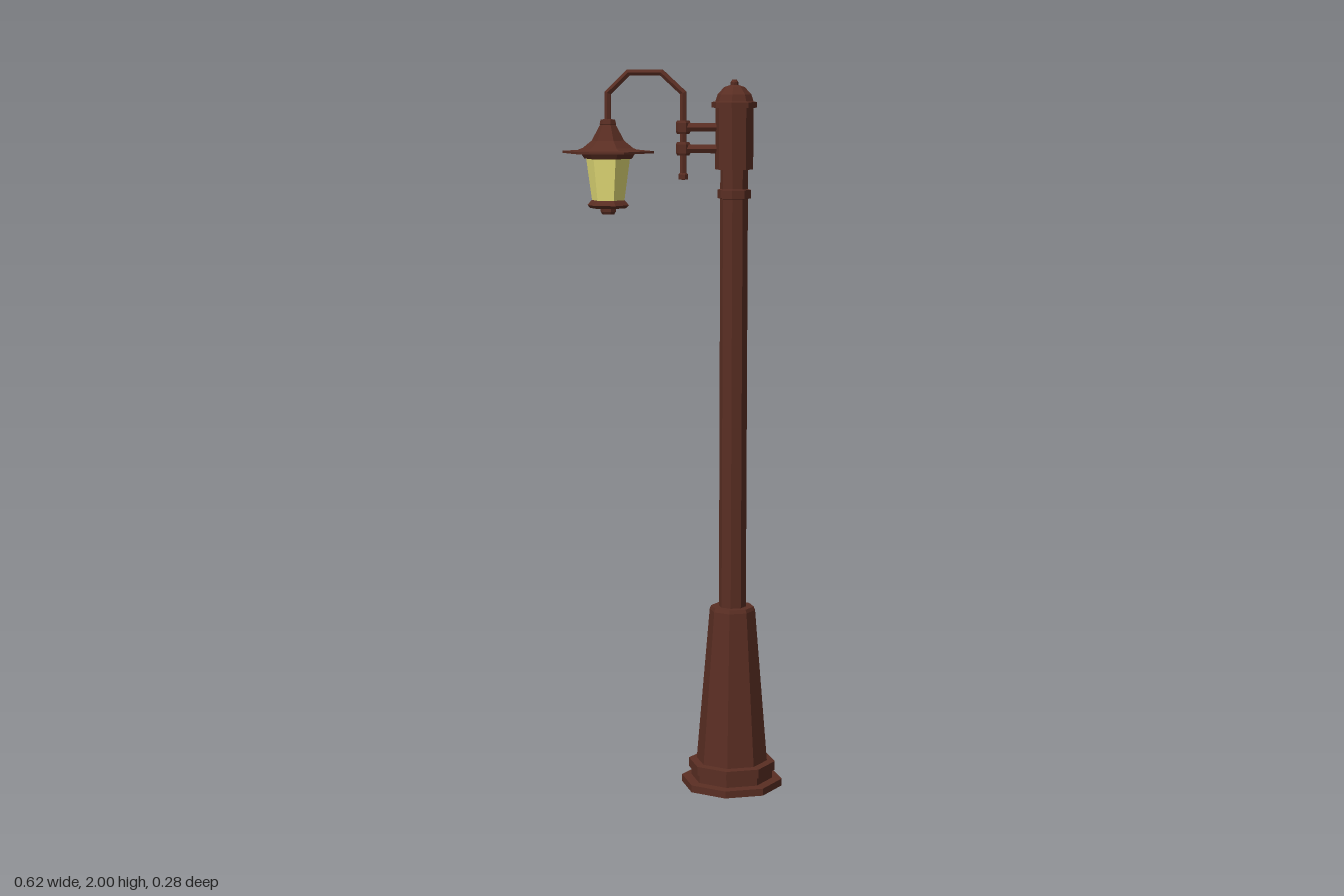
import * as THREE from 'three';

const POST_X = 0.166, LAMP_X = -0.182, ARM_X = 0.026;

export function createModel() {
  const group = new THREE.Group();
  const metal = new THREE.MeshStandardMaterial({ color: 0x5a2e23, flatShading: true });
  const glow = new THREE.MeshStandardMaterial({ color: 0xe6df78, flatShading: true });

  const add = (name, geometry, material = metal) => {
    const mesh = new THREE.Mesh(geometry, material);
    mesh.name = name;
    group.add(mesh);
    return mesh;
  };
  // Faceted turned part; the profile runs from bottom to top as [radius, y]
  const turned = (name, x, sides, profile, material) => {
    const geo = new THREE.LatheGeometry(profile.map(([r, y]) => new THREE.Vector2(r, y)), sides);
    if (sides === 6) geo.rotateY(Math.PI / 6);
    geo.translate(x, 0, 0);
    return add(name, geo, material);
  };

  // Eight-sided post
  turned('basePlinth', POST_X, 8, [
    [0, 0], [0.142, 0], [0.142, 0.02], [0.115, 0.022], [0.115, 0.045],
    [0.122, 0.045], [0.122, 0.07], [0.1, 0.072], [0, 0.072]]);
  turned('taperedBase', POST_X, 8, [[0.1, 0.07], [0.064, 0.505], [0.06, 0.515], [0, 0.515]]);
  turned('shaft', POST_X, 8, [[0.038, 0.51], [0.038, 1.74]]);
  turned('collar', POST_X, 8, [[0.037, 1.65], [0.046, 1.652], [0.046, 1.675], [0.037, 1.677]]);
  turned('postHead', POST_X, 8, [[0, 1.73], [0.052, 1.73], [0.052, 1.9]]);
  turned('postCap', POST_X, 8, [
    [0.052, 1.896], [0.062, 1.896], [0.062, 1.911], [0.052, 1.913],
    [0.046, 1.932], [0.028, 1.951], [0.01, 1.957]]);
  turned('capFinial', POST_X, 8, [[0.01, 1.952], [0.011, 1.964], [0.006, 1.971], [0, 1.972]]);

  // Gooseneck arm: a six-sided tube with one ring at each bend
  const path = [[ARM_X, 1.71], [ARM_X, 1.935], [-0.034, 1.99], [-0.125, 1.99],
    [LAMP_X, 1.935], [LAMP_X, 1.85]].map(([x, y]) => new THREE.Vector3(x, y, 0));
  const last = path.length - 1;
  const bend = new THREE.Curve();
  bend.getPointAt = (u) => path[Math.round(u * last)].clone();
  bend.getTangentAt = (u) => {
    const i = Math.round(u * last), t = new THREE.Vector3();
    if (i > 0) t.add(path[i].clone().sub(path[i - 1]).normalize());
    if (i < last) t.add(path[i + 1].clone().sub(path[i]).normalize());
    return t.normalize();
  };
  add('gooseneckArm', new THREE.TubeGeometry(bend, last, 0.01, 6, false));
  turned('armEnd', ARM_X, 6, [[0, 1.7], [0.013, 1.702], [0.013, 1.716], [0.009, 1.72]]);

  // Two brackets clamping the arm to the post
  for (const y of [1.843, 1.785]) {
    const bar = new THREE.CylinderGeometry(0.0135, 0.0135, 0.095, 6);
    bar.rotateZ(Math.PI / 2).translate(0.08, y, 0);
    add('bracketBar', bar);
    turned('bracketClamp', ARM_X, 6, [
      [0, y - 0.018], [0.017, y - 0.018], [0.02, y - 0.012],
      [0.02, y + 0.012], [0.017, y + 0.018], [0, y + 0.018]]);
  }

  // Six-sided lantern
  turned('lanternRoof', LAMP_X, 6, [
    [0, 1.757], [0.066, 1.757], [0.076, 1.772], [0.127, 1.772], [0.127, 1.778],
    [0.085, 1.78], [0.07, 1.786], [0.045, 1.806], [0.031, 1.832], [0.021, 1.85]]);
  turned('roofCollar', LAMP_X, 6, [[0.02, 1.847], [0.023, 1.85], [0.02, 1.863], [0, 1.865]]);
  turned('lanternGlass', LAMP_X, 6, [[0.044, 1.635], [0.061, 1.758]], glow);
  turned('lanternBase', LAMP_X, 6, [
    [0, 1.622], [0.05, 1.622], [0.058, 1.63], [0.052, 1.637], [0.044, 1.645], [0, 1.645]]);
  turned('lanternKnob', LAMP_X, 6, [[0, 1.605], [0.017, 1.605], [0.021, 1.612], [0.021, 1.624]]);

  return group;
}
